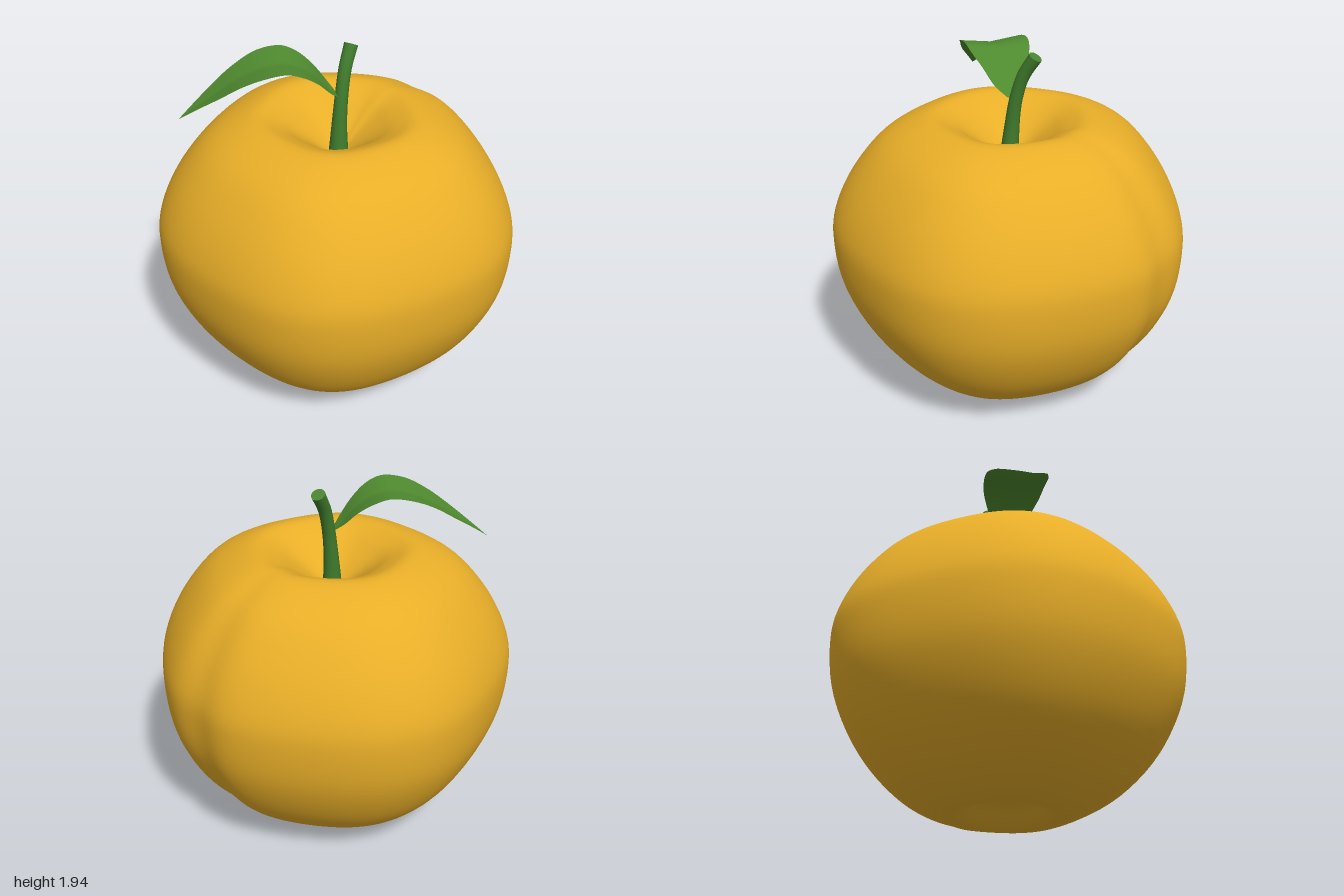
import * as THREE from 'three';
import { mergeVertices } from 'three/addons/utils/BufferGeometryUtils.js';

const V2 = (x, y) => new THREE.Vector2(x, y);
const V3 = (x, y, z) => new THREE.Vector3(x, y, z);

function addMesh(group, name, geometry, color, side = THREE.FrontSide) {
  const mesh = new THREE.Mesh(geometry, new THREE.MeshStandardMaterial({ color, side }));
  mesh.name = name;
  group.add(mesh);
  return mesh;
}

// Weld seams and give smooth normals
function smooth(geometry) {
  geometry.deleteAttribute('uv');
  geometry.deleteAttribute('normal');
  const welded = mergeVertices(geometry, 1e-5);
  welded.computeVertexNormals();
  return welded;
}

// Fruit: a lathed body with dimples at both ends, five soft lobes and one groove on +x
function fruitGeometry() {
  const profile = new THREE.SplineCurve([
    V2(0, 0.12), V2(0.13, 0.075), V2(0.27, 0.006), V2(0.42, 0.03), V2(0.63, 0.15),
    V2(0.825, 0.36), V2(0.955, 0.63), V2(0.99, 0.89), V2(0.96, 1.07), V2(0.85, 1.28),
    V2(0.68, 1.47), V2(0.46, 1.573), V2(0.33, 1.545), V2(0.22, 1.475), V2(0.12, 1.4),
    V2(0.05, 1.345), V2(0, 1.33),
  ]).getPoints(80);
  profile.forEach(p => { p.x = Math.max(0, p.x); });
  profile[0].x = profile[80].x = 0;
  const geometry = new THREE.LatheGeometry(profile, 120);
  const pos = geometry.attributes.position;
  for (let i = 0; i < pos.count; i++) {
    const x = pos.getX(i), z = pos.getZ(i);
    const angle = Math.atan2(z, x);
    const groove = 0.035 * Math.exp(-((angle / 0.13) ** 2));
    const k = 0.994 + 0.02 * Math.cos(5 * angle) - groove;
    pos.setX(i, x * k);
    pos.setZ(i, z * k);
  }
  return smooth(geometry);
}

// Stem: a tube that flares at its foot and swells a little at the tip
const stemPath = new THREE.CatmullRomCurve3([
  V3(0, 1.33, 0.01), V3(0.012, 1.5, 0.005), V3(0.035, 1.67, 0), V3(0.075, 1.81, -0.012), V3(0.14, 1.922, -0.03),
]);
const stemRadius = t => 0.034 + 0.022 * (1 - t) ** 3 + 0.004 * t ** 6;

function stemGeometry() {
  const rings = 28, sides = 20;
  const geometry = new THREE.TubeGeometry(stemPath, rings, 1, sides);
  const pos = geometry.attributes.position;
  const p = V3(0, 0, 0);
  for (let i = 0; i < pos.count; i++) {
    const t = Math.floor(i / (sides + 1)) / rings;
    const c = stemPath.getPointAt(t);
    p.fromBufferAttribute(pos, i).sub(c).multiplyScalar(stemRadius(t)).add(c);
    pos.setXYZ(i, p.x, p.y, p.z);
  }
  return smooth(geometry);
}

// Leaf: an arched blade, folded slightly along its midrib
function leafGeometry() {
  const arch = new THREE.SplineCurve([
    V2(0, 1.68), V2(0.05, 1.735), V2(0.12, 1.815), V2(0.2, 1.875), V2(0.29, 1.905),
    V2(0.41, 1.885), V2(0.52, 1.835), V2(0.62, 1.77), V2(0.74, 1.685), V2(0.84, 1.61),
  ]);
  const width = new THREE.SplineCurve([
    V2(0, 0.02), V2(0.03, 0.08), V2(0.11, 0.125), V2(0.18, 0.163), V2(0.28, 0.178),
    V2(0.41, 0.178), V2(0.52, 0.15), V2(0.6, 0.117), V2(0.73, 0.055), V2(0.84, 0.001),
  ]);
  const geometry = new THREE.PlaneGeometry(1, 1, 16, 40);
  const pos = geometry.attributes.position;
  const along = V2(-0.786, -0.619);
  for (let i = 0; i < pos.count; i++) {
    const t = 0.5 + pos.getY(i), across = 2 * pos.getX(i);
    const spine = arch.getPoint(t);
    const w = width.getPoint(t).y;
    const s = w * across;
    const fold = 0.13 * w * (Math.abs(across) - 0.8);
    pos.setXYZ(i,
      0.005 + along.x * spine.x - along.y * s,
      spine.y + fold,
      along.y * spine.x + along.x * s);
  }
  geometry.computeVertexNormals();
  return geometry;
}

export function createModel() {
  const model = new THREE.Group();
  model.name = 'fruit';
  addMesh(model, 'fruitBody', fruitGeometry(), 0xe8ae28);

  const stem = new THREE.Group();
  stem.name = 'stem';
  model.add(stem);
  addMesh(stem, 'stemShaft', stemGeometry(), 0x3f7a2c);
  const cap = addMesh(stem, 'stemTip', new THREE.CircleGeometry(stemRadius(1), 20), 0x4a8530);
  cap.position.copy(stemPath.getPointAt(1));
  cap.quaternion.setFromUnitVectors(V3(0, 0, 1), stemPath.getTangentAt(1));

  addMesh(model, 'leaf', leafGeometry(), 0x4f8a2f, THREE.DoubleSide);
  return model;
}
